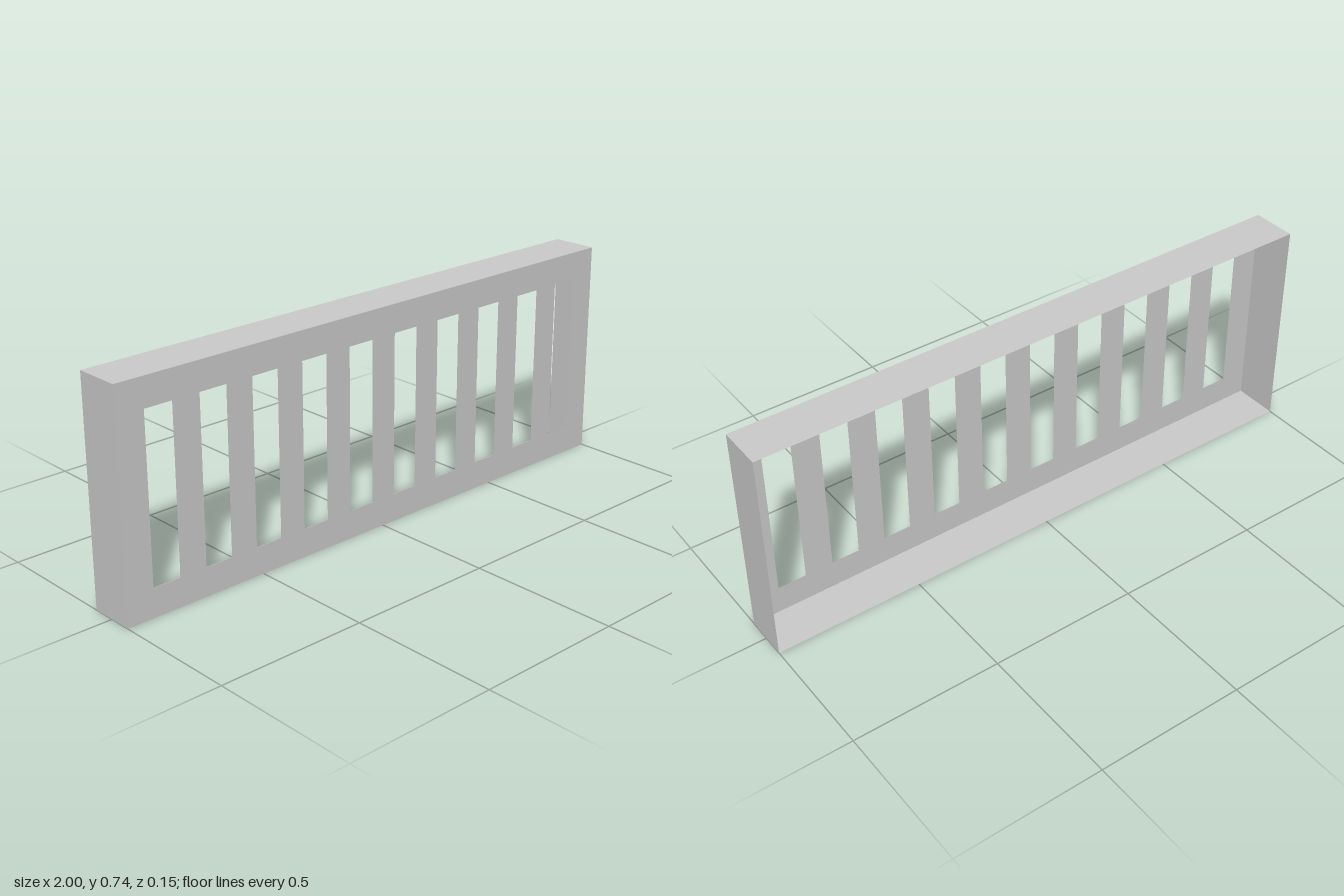
import * as THREE from 'three';

const W = 2, H = 0.736, D = 0.154;   // overall size
const SLOTS = 10;
const UNIT = W / (2 * SLOTS + 1);    // slot, bar and border width

export function createModel() {
  const group = new THREE.Group();
  const material = new THREE.MeshStandardMaterial({ color: 0xcccccc, side: THREE.DoubleSide });

  function add(name, geometry, x, y, z) {
    const mesh = new THREE.Mesh(geometry, material);
    mesh.name = name;
    mesh.position.set(x, y, z);
    group.add(mesh);
  }

  // Thin front sheet with a row of upright slots
  const rect = (path, x0, y0, x1, y1) =>
    path.moveTo(x0, y0).lineTo(x1, y0).lineTo(x1, y1).lineTo(x0, y1).closePath();
  const face = rect(new THREE.Shape(), -W / 2, 0, W / 2, H);
  for (let i = 0; i < SLOTS; i++) {
    const x = -W / 2 + UNIT * (2 * i + 1);
    face.holes.push(rect(new THREE.Path(), x, UNIT, x + UNIT, H - UNIT));
  }
  add('slottedFrontPanel', new THREE.ShapeGeometry(face), 0, 0, D / 2);

  // Thin rim folded back around the panel, open at the rear
  for (const s of [-1, 1]) {
    add(s > 0 ? 'leftRim' : 'rightRim',
      new THREE.PlaneGeometry(D, H).rotateY(s * Math.PI / 2), s * W / 2, H / 2, 0);
    add(s > 0 ? 'topRim' : 'bottomRim',
      new THREE.PlaneGeometry(W, D).rotateX(-s * Math.PI / 2), 0, s > 0 ? H : 0, 0);
  }
  return group;
}
